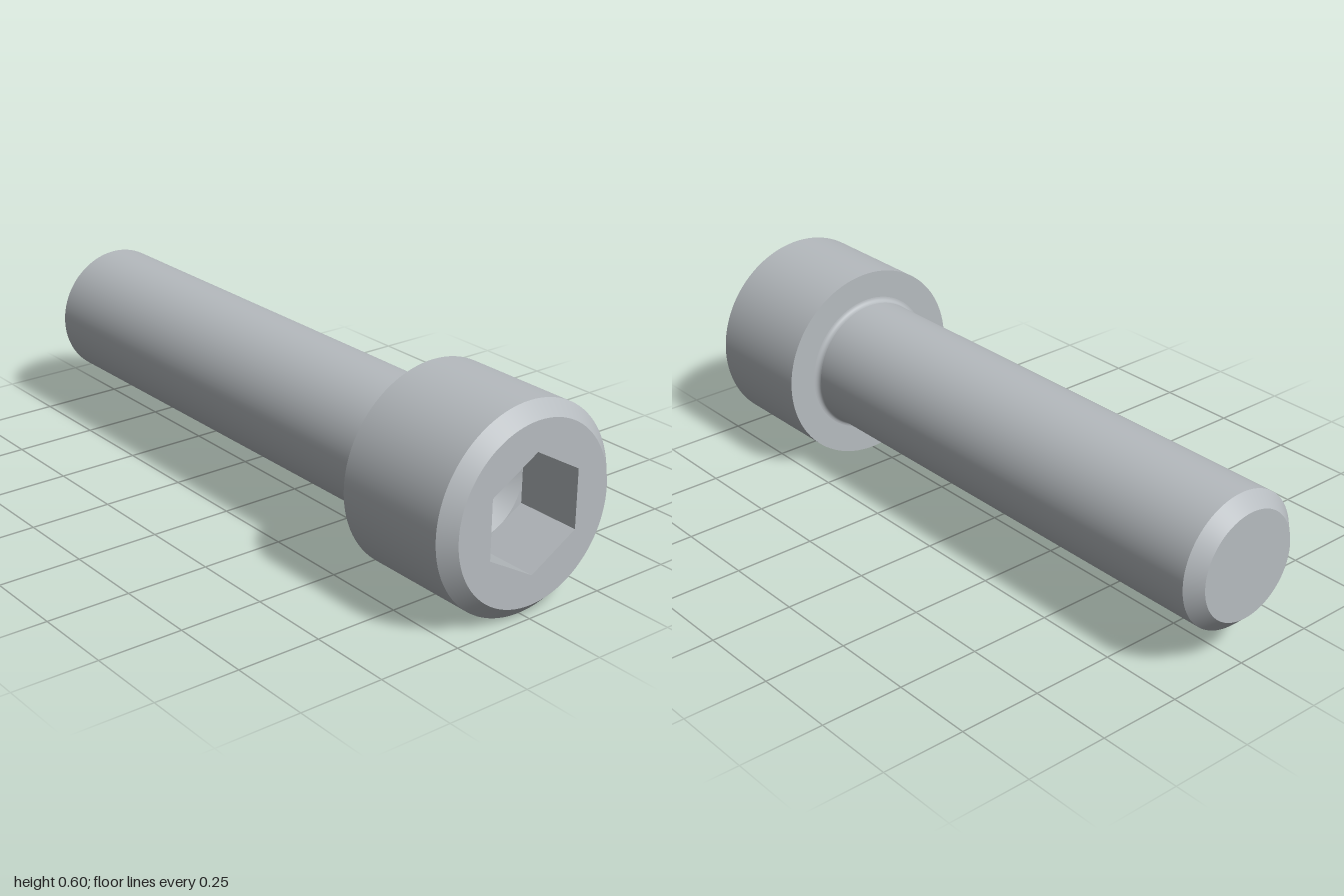
import * as THREE from 'three';

const SEGMENTS = 96;
const HEX_RADIUS = 0.15 / Math.cos(Math.PI / 6);
const FILLET = 0.015;

export function createModel() {
  const steel = new THREE.MeshStandardMaterial({ color: 0xb6bbbf });
  steel.name = 'steel';

  const model = new THREE.Group();
  model.name = 'socketHeadBolt';

  const add = (parent, name, geometry) => {
    const mesh = new THREE.Mesh(geometry, steel);
    mesh.name = name;
    parent.add(mesh);
  };

  const part = (name) => {
    const group = new THREE.Group();
    group.name = name;
    group.position.y = 0.3;
    model.add(group);
    return group;
  };

  // Surface of revolution around z from [radius, z] pairs; falling z faces inward
  const turned = (profile, sides = SEGMENTS) =>
    new THREE.LatheGeometry(profile.map(([r, z]) => new THREE.Vector2(r, z)), sides)
      .rotateX(Math.PI / 2);

  const circle = (r) => new THREE.Path().absarc(0, 0, r, 0, Math.PI * 2);
  const hexagon = () => Array.from({ length: 6 }, (_, i) => {
    const a = Math.PI / 2 + (i * Math.PI) / 3;
    return new THREE.Vector2(HEX_RADIUS * Math.cos(a), HEX_RADIUS * Math.sin(a));
  });

  // Flat face looking forward, with a hole
  const plate = (outline, hole, z) => {
    const shape = new THREE.Shape(outline);
    shape.holes.push(hole);
    return new THREE.ShapeGeometry(shape, SEGMENTS).translate(0, 0, z);
  };

  // Shank with chamfered tip and a small fillet under the head
  const shank = part('shank');
  add(shank, 'tipFace', turned([[0, -1], [0.16, -1]]));
  add(shank, 'tipChamfer', turned([[0.16, -1], [0.2, -0.96]]));
  add(shank, 'shankSide', turned([[0.2, -0.96], [0.2, 0.6 - FILLET]]));
  const fillet = Array.from({ length: 7 }, (_, i) => {
    const a = (i / 6) * Math.PI / 2;
    return [0.2 + FILLET * (1 - Math.cos(a)), 0.6 - FILLET * (1 - Math.sin(a))];
  });
  add(shank, 'neckFillet', turned(fillet));

  // Cylindrical head with chamfered front rim
  const head = part('head');
  add(head, 'headUnderside', turned([[0.2 + FILLET, 0.6], [0.3, 0.6]]));
  add(head, 'headSide', turned([[0.3, 0.6], [0.3, 0.96]]));
  add(head, 'headChamfer', turned([[0.3, 0.96], [0.26, 1]]));
  add(head, 'headFace', plate(circle(0.26).getPoints(SEGMENTS), new THREE.Path(hexagon()), 1));

  // Hexagonal socket with a conical drilled bottom
  const socket = part('socket');
  const walls = turned([[HEX_RADIUS, 1], [HEX_RADIUS, 0.8]], 6).toNonIndexed();
  walls.computeVertexNormals();
  add(socket, 'socketWalls', walls);
  add(socket, 'socketFloor', plate(hexagon(), circle(0.1499), 0.8));
  add(socket, 'socketCone', turned([[0.15, 0.8], [0, 0.713]]));

  return model;
}
